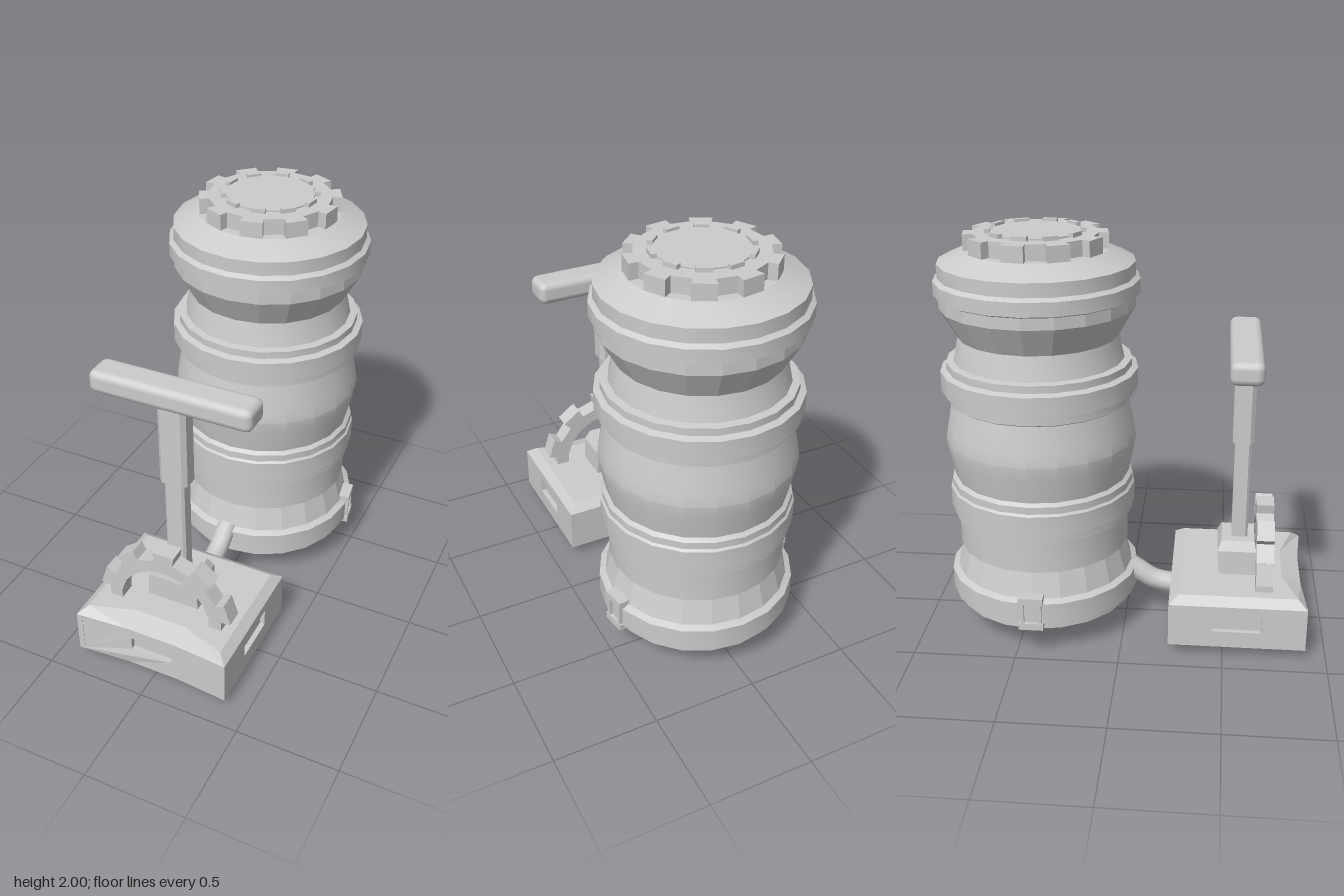
import * as THREE from 'three';
import { toCreasedNormals } from 'three/addons/utils/BufferGeometryUtils.js';
import { RoundedBoxGeometry } from 'three/addons/geometries/RoundedBoxGeometry.js';

const smooth = new THREE.MeshStandardMaterial({ color: 0xcccccc });
const flat = new THREE.MeshStandardMaterial({ color: 0xcccccc, flatShading: true });
const TANK_Z = -0.42, SIDES = 20;
const V2 = (x, y) => new THREE.Vector2(x, y);
const toPoints = (list) => list.map(([x, y]) => V2(x, y));

function add(parent, name, geometry, material = flat, x = 0, y = 0, z = 0) {
  const mesh = new THREE.Mesh(geometry, material);
  mesh.name = name;
  mesh.position.set(x, y, z);
  parent.add(mesh);
  return mesh;
}

const box = (w, h, d) => new THREE.BoxGeometry(w, h, d);
const extrude = (shape, depth) => new THREE.ExtrudeGeometry(shape, { depth, bevelEnabled: false });

// Points along a toothed rim, one sector per side, alternating tooth and gap
function rim(first, last, offset, tooth, gap) {
  const step = (2 * Math.PI) / SIDES, points = [];
  for (let i = first; i <= last; i++) {
    const r = i % 2 === 0 ? tooth : gap;
    for (const k of [0, 1]) {
      const a = (i + k + offset) * step;
      points.push(V2(r * Math.sin(a), r * Math.cos(a)));
    }
  }
  return points;
}

// Solid between matching loops of [x, z] at two heights, with a flat lid
function loft(lower, y0, upper, y1) {
  const pos = [], n = lower.length;
  const push = ([x, z], y) => pos.push(x, y, z);
  for (let i = 0; i < n; i++) {
    const j = (i + 1) % n;
    push(lower[i], y0); push(upper[j], y1); push(lower[j], y0);
    push(lower[i], y0); push(upper[i], y1); push(upper[j], y1);
  }
  for (const t of THREE.ShapeUtils.triangulateShape(toPoints(upper), [])) {
    const [a, b, c] = t.map((k) => upper[k]);
    const cross = (b[0] - a[0]) * (c[1] - a[1]) - (b[1] - a[1]) * (c[0] - a[0]);
    for (const p of cross > 0 ? [a, c, b] : [a, b, c]) push(p, y1);
  }
  const g = new THREE.BufferGeometry();
  g.setAttribute('position', new THREE.Float32BufferAttribute(pos, 3));
  g.computeVertexNormals();
  return g;
}

function createTank() {
  const tank = new THREE.Group();
  tank.name = 'tank';
  tank.position.z = TANK_Z;
  // Stacked sections, each a profile of [radius, height]
  const sections = [
    ['tankFoot', smooth, [[0, 0], [0.23, 0], [0.23, 0.06], [0.42, 0.125], [0.445, 0.135], [0.445, 0.17]]],
    ['bottomBand', smooth, [[0.445, 0.17], [0.475, 0.18], [0.475, 0.285], [0.445, 0.3]]],
    ['lowerFlare', flat, [[0.445, 0.3], [0.41, 0.43]]],
    ['lowerBody', smooth, [[0.41, 0.43], [0.423, 0.43], [0.423, 0.6]]],
    ['lowerBand', smooth, [[0.423, 0.6], [0.448, 0.6], [0.448, 0.635], [0.458, 0.64], [0.458, 0.74],
      [0.448, 0.75], [0.448, 0.785], [0.43, 0.8]]],
    ['barrel', smooth, [[0.43, 0.8], [0.455, 0.92], [0.466, 0.99], [0.455, 1.06], [0.43, 1.185]]],
    ['upperBand', smooth, [[0.42, 1.175], [0.445, 1.19], [0.445, 1.23], [0.475, 1.24], [0.475, 1.335],
      [0.445, 1.345], [0.445, 1.38], [0.41, 1.385]]],
    ['neck', smooth, [[0.41, 1.385], [0.385, 1.5]]],
    ['waist', flat, [[0.385, 1.5], [0.463, 1.64], [0.463, 1.695]]],
    ['topBand', smooth, [[0.463, 1.695], [0.485, 1.705], [0.485, 1.77], [0.463, 1.785], [0.463, 1.85]]],
    ['shoulder', smooth, [[0.463, 1.85], [0.34, 1.905], [0, 1.905]]],
  ];
  for (const [name, material, profile] of sections) {
    const g = new THREE.LatheGeometry(toPoints(profile), SIDES);
    add(tank, name, material === smooth ? toCreasedNormals(g, 0.4) : g, material);
  }
  // Toothed cap and the ring of small lugs on it
  const cap = extrude(new THREE.Shape(rim(0, SIDES - 1, -1, 0.338, 0.293)), 0.085).rotateX(-Math.PI / 2);
  add(tank, 'toothedCap', cap, flat, 0, 1.895, 0);
  add(tank, 'capDisc', new THREE.CylinderGeometry(0.21, 0.21, 0.02, SIDES), flat, 0, 1.977, 0);
  for (let i = 0; i < 10; i++) {
    const a = ((i - 0.25) * Math.PI) / 5;
    const lug = add(tank, 'capLug', box(0.07, 0.03, 0.025), flat, 0.22 * Math.sin(a), 1.985, -0.22 * Math.cos(a));
    lug.rotation.y = -a;
  }
  // Clips over the bottom band
  for (const angle of [Math.PI / 20, Math.PI]) {
    const clip = new THREE.Group();
    clip.name = 'clip';
    clip.rotation.y = angle;
    for (const y of [0.17, 0.305]) add(clip, 'clipBar', box(0.06, 0.035, 0.118), flat, 0.458, y, 0);
    for (const z of [-0.042, 0.042]) add(clip, 'clipPost', box(0.05, 0.12, 0.018), flat, 0.46, 0.238, z);
    tank.add(clip);
  }
  return tank;
}

// Wall panel with a rectangular recess, built facing +z
function wall(width, slotW, slotH, dip = 0) {
  const h = width / 2, y0 = 0.05, y1 = 0.27, f = 0.13, T = 0.03;
  const shape = new THREE.Shape(toPoints([[-h, y0], [-f, y0], [f, y0], [h, y0], [h, y1], [f, y1], [-f, y1], [-h, y1]]));
  const a = slotW / 2, b = slotH / 2, c = 0.18;
  shape.holes.push(new THREE.Path(toPoints([[-a, c - b], [-a, c + b], [a, c + b], [a, c - b]])));
  const g = extrude(shape, T).translate(0, 0, -T);
  const p = g.attributes.position;
  for (let i = 0; i < p.count; i++) {
    const t = THREE.MathUtils.clamp((Math.abs(p.getX(i)) - f) / (h - f), 0, 1);
    p.setZ(i, p.getZ(i) - dip * (1 - t));
  }
  g.computeVertexNormals();
  return g;
}

function createPump() {
  const pump = new THREE.Group();
  pump.name = 'pump';
  // Base box with a recess on each side and a chamfered, scooped lid
  const X = 0.393, back = 0.235, front = 0.9, mid = (back + front) / 2;
  add(pump, 'baseCore', box(2 * X - 0.05, 0.219, 0.595), flat, 0, 0.16, mid - 0.01);
  add(pump, 'baseFront', wall(2 * X, 0.215, 0.07, 0.02), flat, 0, 0, front);
  add(pump, 'baseBack', wall(2 * X, 0.215, 0.07), flat, 0, 0, back).rotation.y = Math.PI;
  for (const s of [-1, 1]) {
    add(pump, 'baseSide', wall(front - back, 0.235, 0.09), flat, s * X, 0, mid).rotation.y = (s * Math.PI) / 2;
  }
  const lower = [[-X, back], [X, back], [X, front], [0.13, 0.88], [-0.13, 0.88], [-X, front]];
  const upper = [[-0.35, 0.285], [0.35, 0.285], [0.35, 0.855], [0.13, 0.785], [-0.13, 0.785], [-0.35, 0.855]];
  add(pump, 'baseLid', loft(lower, 0.27, upper, 0.307));

  // Socket block around the post
  const rect = (w, z0, z1) => [[-w, z0], [w, z0], [w, z1], [-w, z1]];
  add(pump, 'socket', loft(rect(0.135, 0.475), 0.3, rect(0.135, 0.465), 0.3), flat).removeFromParent();
  add(pump, 'socket', loft(rect(0.133, 0.475, 0.655), 0.3, rect(0.127, 0.462, 0.655), 0.43));
  add(pump, 'socketTop', loft(rect(0.127, 0.462, 0.655), 0.43, rect(0.1, 0.482, 0.645), 0.477));

  // Half gear arch
  const arch = rim(-5, 5, -0.5, 0.348, 0.3);
  for (let i = 5; i >= -5; i--) {
    const a = (i * 1.1 * Math.PI) / 10;
    arch.push(V2(0.235 * Math.sin(a), 0.235 * Math.cos(a)));
  }
  add(pump, 'gearArch', extrude(new THREE.Shape(arch), 0.085), flat, 0, 0.312, 0.65);

  // Telescoping post with chamfered corners, and the handle bar
  const post = (w, d, c, y0, y1) => {
    const loop = [[-w + c, -d], [w - c, -d], [w, -d + c], [w, d - c], [w - c, d], [-w + c, d], [-w, d - c], [-w, -d + c]];
    const shape = new THREE.Shape(toPoints(loop));
    return extrude(shape, y1 - y0).rotateX(-Math.PI / 2).translate(0, y0, 0);
  };
  add(pump, 'lowerPost', post(0.05, 0.04, 0.012, 0.4, 1.0), flat, 0, 0, 0.57);
  add(pump, 'upperPost', post(0.07, 0.052, 0.02, 0.985, 1.41), flat, 0, 0, 0.57);
  add(pump, 'handle', new RoundedBoxGeometry(0.785, 0.112, 0.155, 2, 0.035), smooth, 0, 1.44, 0.567);

  // Hose to the tank
  const path = new THREE.CatmullRomCurve3([[-0.02, 0.18, 0.29], [-0.02, 0.185, 0.23], [-0.02, 0.205, 0.14],
    [-0.02, 0.255, 0.06], [-0.02, 0.29, 0.01]].map((p) => new THREE.Vector3(...p)));
  add(pump, 'hose', new THREE.TubeGeometry(path, 10, 0.052, 10), smooth);
  return pump;
}

export function createModel() {
  const model = new THREE.Group();
  model.name = 'tankWithHandPump';
  model.add(createTank(), createPump());
  return model;
}
